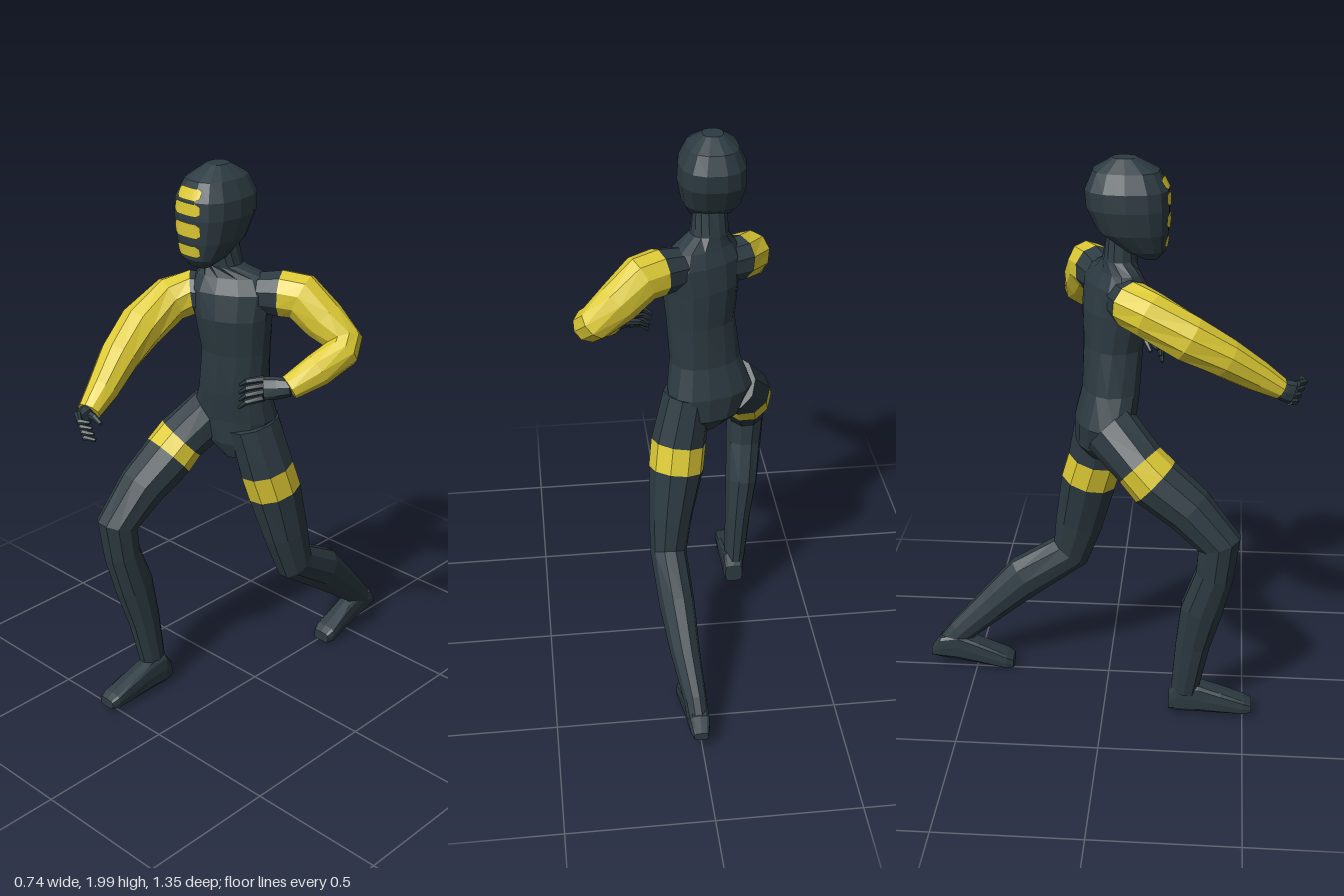
import * as THREE from 'three';

const mat = (name, color) => {
  const m = new THREE.MeshStandardMaterial({ color, flatShading: true });
  m.name = name;
  return m;
};

const V = (a) => new THREE.Vector3(a[0], a[1], a[2]);

// Ring = [x, y, z, radius along ref, radius across ref, yaw]. Each section [name, material, from, to] becomes a mesh.
function sweep(group, sections, rings, { ref = [1, 0, 0], axis = null, n = 10, power = 2 } = {}) {
  const bend = (s) => Math.sign(s) * Math.abs(s) ** (2 / power);
  const last = rings.length - 1;
  const loops = rings.map((r, j) => {
    const p = V(r);
    const t = axis ? V(axis) : new THREE.Vector3();
    if (!axis) {
      if (j > 0) t.add(p.clone().sub(V(rings[j - 1])).normalize());
      if (j < last) t.add(V(rings[j + 1]).sub(p).normalize());
      t.normalize();
    }
    const u = V(ref).applyAxisAngle(new THREE.Vector3(0, 1, 0), r[5] || 0);
    u.addScaledVector(t, -u.dot(t)).normalize();
    const v = t.clone().cross(u);
    return Array.from({ length: n }, (_, i) => {
      const a = (i / n) * Math.PI * 2;
      return p.clone().addScaledVector(u, r[3] * bend(Math.cos(a))).addScaledVector(v, r[4] * bend(Math.sin(a)));
    });
  });
  for (const [name, material, from, to] of sections) {
    const pos = [];
    const tri = (...ps) => ps.forEach((p) => pos.push(p.x, p.y, p.z));
    for (let i = 0; i < n; i++) {
      const k = (i + 1) % n;
      for (let j = from; j < to; j++) {
        const a = loops[j], b = loops[j + 1];
        tri(a[i], a[k], b[i]);
        tri(a[k], b[k], b[i]);
      }
      if (from === 0) tri(V(rings[0]), loops[0][k], loops[0][i]);
      if (to === last) tri(V(rings[last]), loops[last][i], loops[last][k]);
    }
    const g = new THREE.BufferGeometry();
    g.setAttribute('position', new THREE.Float32BufferAttribute(pos, 3));
    g.computeVertexNormals();
    const mesh = new THREE.Mesh(g, material);
    mesh.name = name;
    group.add(mesh);
  }
}

// Palm, four curled fingers and a thumb
function addHand(group, name, dark, { wrist, knuckle, mid, tip, across, thumb }) {
  const hand = new THREE.Group();
  hand.name = name;
  const ref = V(across).normalize().toArray();
  sweep(hand, [['palm', dark, 0, 2]], [
    [...wrist, 0.03, 0.024],
    [...V(wrist).lerp(V(knuckle), 0.5).toArray(), 0.038, 0.024],
    [...knuckle, 0.04, 0.018],
  ], { ref, n: 8 });
  for (let i = 0; i < 4; i++) {
    const at = (p, spread, r) => [...V(p).addScaledVector(V(across), (i - 1.5) * spread).toArray(), r, r];
    sweep(hand, [['finger', dark, 0, 2]], [at(knuckle, 1, 0.012), at(mid, 1.1, 0.011), at(tip, 1.2, 0.006)], { ref, n: 6 });
  }
  sweep(hand, [['thumb', dark, 0, 2]], thumb.map((p, i) => [...p, 0.015 - i * 0.004, 0.015 - i * 0.004]), { ref: [0, 1, 0], n: 6 });
  group.add(hand);
}

export function createModel() {
  const model = new THREE.Group();
  model.name = 'lungingFigure';
  const dark = mat('dark slate suit', 0x2d3b42);
  const yellow = mat('yellow trim', 0xdcc934);

  // Torso, twisted so the right shoulder leads
  sweep(model, [['torso', dark, 0, 9]], [
    [-0.08, 0.94, 0.0, 0.045, 0.06, 0.3],
    [-0.09, 1.0, -0.01, 0.12, 0.095, 0.3],
    [-0.1, 1.09, -0.005, 0.155, 0.1, 0.3],
    [-0.085, 1.2, 0.015, 0.125, 0.095, 0.35],
    [-0.07, 1.35, 0.02, 0.12, 0.095, 0.45],
    [-0.07, 1.48, 0.03, 0.135, 0.105, 0.5],
    [-0.07, 1.57, 0.03, 0.15, 0.09, 0.5],
    [-0.075, 1.62, 0.03, 0.125, 0.065, 0.5],
    [-0.1, 1.66, 0.045, 0.065, 0.058, 0.2],
    [-0.105, 1.78, 0.06, 0.055, 0.055, 0],
  ], { axis: [0, 1, 0], n: 14, power: 2.3 });

  // Hooded head
  const headX = -0.11, power = 2.5;
  const headRows = [ // y, front z, back z, half width
    [1.67, 0.175, 0.12, 0.04],
    [1.7, 0.198, 0.06, 0.072],
    [1.76, 0.207, -0.025, 0.1],
    [1.84, 0.21, -0.065, 0.116],
    [1.9, 0.206, -0.07, 0.113],
    [1.96, 0.175, -0.045, 0.085],
    [2.0, 0.1, 0.02, 0.035],
  ];
  sweep(model, [['head', dark, 0, headRows.length - 1]],
    headRows.map(([y, f, b, w]) => [headX, y, (f + b) / 2, w, (f - b) / 2]),
    { axis: [0, 1, 0], n: 14, power });

  // Face stripes following the front of the head
  const faceZ = (dx, y) => {
    const j = Math.max(1, headRows.findIndex((r) => r[0] >= y));
    const a = headRows[j - 1], b = headRows[j];
    const [f, k, w] = [1, 2, 3].map((i) => THREE.MathUtils.lerp(a[i], b[i], (y - a[0]) / (b[0] - a[0])));
    const side = Math.min(1, Math.abs(dx / w));
    return (f + k) / 2 + ((f - k) / 2) * (1 - side ** power) ** (1 / power);
  };
  for (const [y, w, h] of [[1.924, 0.1, 0.036], [1.876, 0.115, 0.042], [1.806, 0.115, 0.05], [1.734, 0.1, 0.04]]) {
    const g = new THREE.PlaneGeometry(w, h, 8, 4);
    const p = g.attributes.position;
    for (let i = 0; i < p.count; i++) {
      const dx = p.getX(i);
      const taper = Math.abs(dx) > w * 0.45 ? 0.6 : 1;
      const py = y + p.getY(i) * taper;
      p.setXYZ(i, headX + dx, py, faceZ(dx, py) + 0.004);
    }
    g.computeVertexNormals();
    const stripe = new THREE.Mesh(g, yellow);
    stripe.name = 'faceStripe';
    model.add(stripe);
  }

  // Left arm, bent at the elbow
  sweep(model, [['leftShoulder', dark, 0, 1], ['leftSleeve', yellow, 1, 7]], [
    [0.0, 1.56, -0.01, 0.07, 0.07],
    [0.08, 1.565, -0.05, 0.082, 0.078],
    [0.14, 1.56, -0.08, 0.084, 0.075],
    [0.22, 1.49, -0.105, 0.076, 0.07],
    [0.295, 1.43, -0.12, 0.062, 0.066],
    [0.312, 1.405, -0.09, 0.06, 0.06],
    [0.285, 1.36, 0.0, 0.058, 0.054],
    [0.238, 1.31, 0.085, 0.042, 0.045],
  ], { ref: [0, 1, 0] });
  addHand(model, 'leftHand', dark, {
    wrist: [0.24, 1.31, 0.08], knuckle: [0.165, 1.3, 0.13], mid: [0.12, 1.285, 0.165], tip: [0.09, 1.26, 0.17],
    across: [-0.004, 0.02, -0.006],
    thumb: [[0.19, 1.3, 0.105], [0.135, 1.29, 0.12], [0.1, 1.26, 0.14]],
  });

  // Right arm, reaching forward
  sweep(model, [['rightShoulder', dark, 0, 1], ['rightSleeve', yellow, 1, 6]], [
    [-0.14, 1.535, 0.06, 0.075, 0.07],
    [-0.205, 1.535, 0.09, 0.08, 0.078],
    [-0.25, 1.515, 0.155, 0.08, 0.078],
    [-0.268, 1.445, 0.28, 0.08, 0.08],
    [-0.248, 1.375, 0.4, 0.068, 0.07],
    [-0.213, 1.3, 0.51, 0.054, 0.055],
    [-0.195, 1.252, 0.585, 0.038, 0.042],
  ], { ref: [0, 1, 0] });
  addHand(model, 'rightHand', dark, {
    wrist: [-0.2, 1.255, 0.575], knuckle: [-0.19, 1.235, 0.63], mid: [-0.15, 1.225, 0.655], tip: [-0.115, 1.225, 0.64],
    across: [0.003, 0.021, 0.008],
    thumb: [[-0.19, 1.25, 0.595], [-0.15, 1.25, 0.6], [-0.115, 1.24, 0.605]],
  });

  // Left leg, trailing
  sweep(model, [['leftHip', dark, 0, 1], ['leftThighBand', yellow, 1, 2], ['leftLeg', dark, 2, 8]], [
    [-0.02, 1.07, -0.015, 0.085, 0.1],
    [0.013, 0.895, -0.045, 0.098, 0.102],
    [0.025, 0.8, -0.072, 0.098, 0.102],
    [0.05, 0.62, -0.11, 0.078, 0.09],
    [0.062, 0.485, -0.145, 0.065, 0.077],
    [0.05, 0.375, -0.315, 0.063, 0.082],
    [0.035, 0.26, -0.44, 0.052, 0.065],
    [0.015, 0.15, -0.56, 0.04, 0.05],
    [0.01, 0.1, -0.605, 0.038, 0.045],
  ]);

  // Right leg, bent forward
  sweep(model, [['rightHip', dark, 0, 1], ['rightThighBand', yellow, 1, 2], ['rightLeg', dark, 2, 8]], [
    [-0.18, 1.08, 0.02, 0.09, 0.1],
    [-0.245, 0.98, 0.125, 0.095, 0.09],
    [-0.258, 0.925, 0.178, 0.095, 0.096],
    [-0.278, 0.835, 0.295, 0.085, 0.087],
    [-0.295, 0.72, 0.4, 0.072, 0.078],
    [-0.29, 0.6, 0.388, 0.068, 0.068],
    [-0.278, 0.45, 0.345, 0.062, 0.076],
    [-0.262, 0.3, 0.317, 0.05, 0.063],
    [-0.248, 0.1, 0.29, 0.04, 0.05],
  ]);

  // Feet: rows of z, sole height, top height, half width
  const addFoot = (name, xHeel, xToe, rows) => {
    const z0 = rows[0][0], z1 = rows[rows.length - 1][0];
    sweep(model, [[name, dark, 0, rows.length - 1]], rows.map(([z, lo, hi, w]) =>
      [THREE.MathUtils.mapLinear(z, z0, z1, xHeel, xToe), (lo + hi) / 2, z, w, (hi - lo) / 2]),
    { axis: [0, 0, 1], n: 12, power: 4 });
  };
  addFoot('leftFoot', 0.005, 0.018, [
    [-0.67, 0.055, 0.085, 0.025], [-0.635, 0.05, 0.135, 0.036], [-0.57, 0.04, 0.15, 0.038],
    [-0.5, 0.028, 0.12, 0.04], [-0.385, 0.008, 0.068, 0.046], [-0.36, 0.01, 0.05, 0.036],
  ]);
  addFoot('rightFoot', -0.24, -0.243, [
    [0.235, 0.025, 0.1, 0.034], [0.265, 0.02, 0.145, 0.04], [0.34, 0.02, 0.132, 0.04],
    [0.42, 0.02, 0.105, 0.042], [0.505, 0.02, 0.075, 0.042], [0.532, 0.025, 0.06, 0.034],
  ]);

  return model;
}
